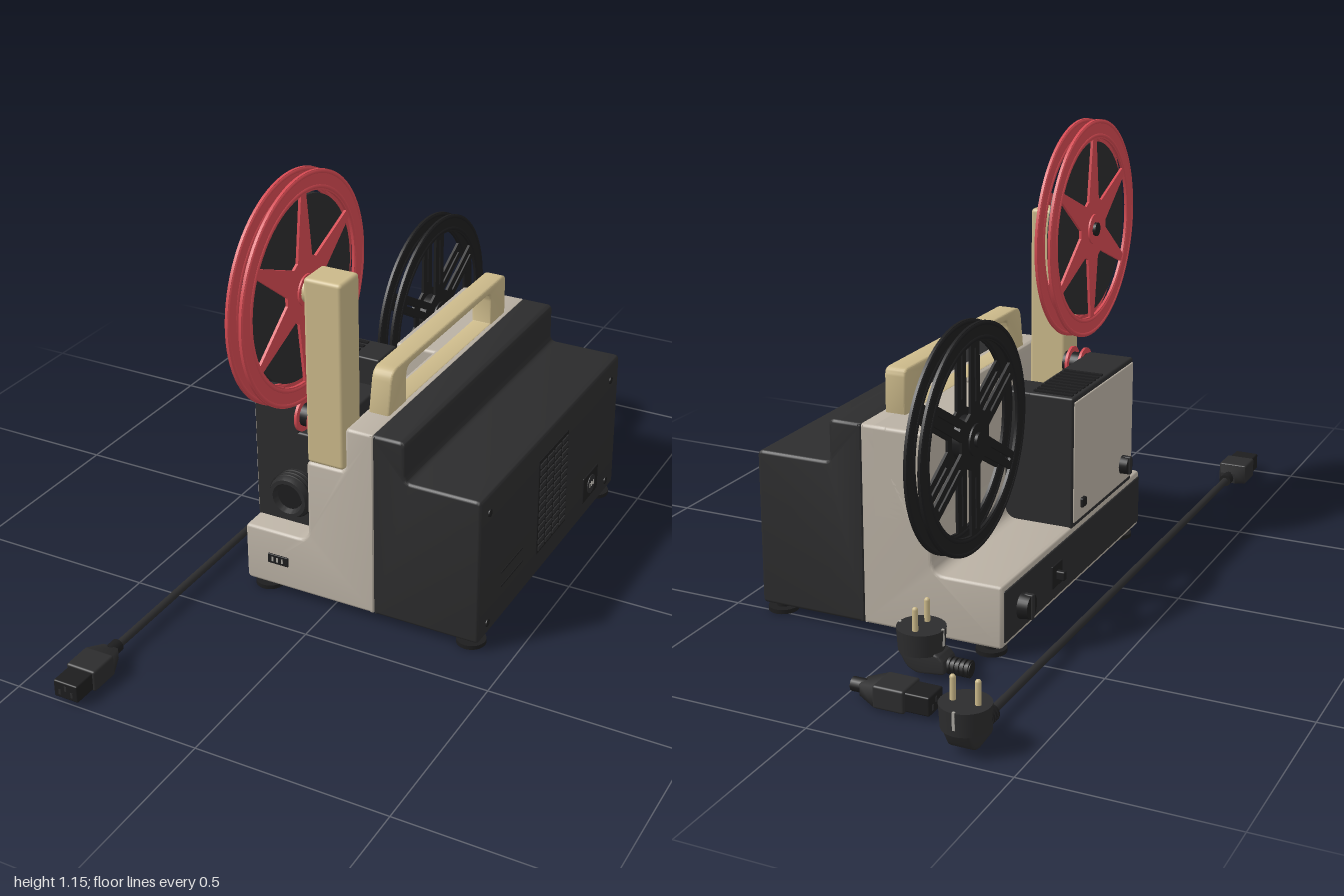
import * as THREE from 'three';
import { toCreasedNormals } from 'three/addons/utils/BufferGeometryUtils.js';
import { RoundedBoxGeometry } from 'three/addons/geometries/RoundedBoxGeometry.js';

const mat = (name, color) => Object.assign(new THREE.MeshStandardMaterial({ color }), { name });

export function createModel() {
  const dark = mat('charcoal', 0x2c2c2d), black = mat('black', 0x1d1d1e), grey = mat('warm grey', 0xbab1a4);
  const tan = mat('tan', 0xcbb98a), red = mat('red', 0xd64a52), steel = mat('steel', 0xa8a59e);
  const model = new THREE.Group();
  model.name = 'filmProjector';

  const group = (name, x = 0, y = 0, z = 0) => {
    const g = new THREE.Group();
    g.name = name;
    g.position.set(x, y, z);
    model.add(g);
    return g;
  };
  const add = (name, geo, m, x = 0, y = 0, z = 0, parent = model) => {
    const mesh = new THREE.Mesh(geo, m);
    mesh.name = name;
    mesh.position.set(x, y, z);
    parent.add(mesh);
    return mesh;
  };
  // Box given by its limits, optionally with rounded edges
  const box = (name, m, [x0, x1], [y0, y1], [z0, z1], r = 0, parent = model) => {
    const s = [x1 - x0, y1 - y0, z1 - z0];
    const geo = r ? new RoundedBoxGeometry(...s, 3, r) : new THREE.BoxGeometry(...s);
    return add(name, geo, m, (x0 + x1) / 2, (y0 + y1) / 2, (z0 + z1) / 2, parent);
  };
  // Cylinder along a chosen axis
  const cyl = (name, m, axis, r, len, x, y, z, parent = model, r2 = r, sides = 32) => {
    const geo = new THREE.CylinderGeometry(r, r2, len, sides);
    if (axis === 'x') geo.rotateZ(-Math.PI / 2);
    if (axis === 'z') geo.rotateX(Math.PI / 2);
    return add(name, geo, m, x, y, z, parent);
  };
  // Closed outline with rounded corners; each point is [x, y, radius]
  const outline = (pts, PathType = THREE.Shape) => {
    const path = new PathType(), n = pts.length;
    pts.forEach(([x, y, r = 0.012], i) => {
      const c = new THREE.Vector2(x, y);
      const toward = (q) => new THREE.Vector2(q[0], q[1]).sub(c).setLength(r).add(c);
      const a = toward(pts[(i + n - 1) % n]), b = toward(pts[(i + 1) % n]);
      if (i) path.lineTo(a.x, a.y); else path.moveTo(a.x, a.y);
      path.quadraticCurveTo(x, y, b.x, b.y);
    });
    path.closePath();
    return path;
  };
  // Extrusion centred on its depth, with bevelled ends
  const extrude = (shape, depth, b = 0, segs = 6) => {
    const geo = new THREE.ExtrudeGeometry(shape, {
      depth: depth - 2 * b, bevelEnabled: b > 0, bevelSize: b, bevelThickness: b,
      bevelOffset: -b, bevelSegments: 3, curveSegments: segs,
    });
    geo.translate(0, 0, b - depth / 2);
    return toCreasedNormals(geo, 0.6);
  };
  // Same, with the outline drawn in (z, y) and the depth along x
  const extrudeX = (...args) => extrude(...args).rotateY(-Math.PI / 2);

  // Main casing
  add('casing', extrude(outline([
    [-0.245, 0.025], [0.125, 0.025, 0.002], [0.125, 0.535, 0.002], [0.05, 0.535], [0.05, 0.415, 0.02],
    [-0.06, 0.415], [-0.06, 0.185, 0.035], [-0.245, 0.185],
  ]), 0.89, 0.008), grey, 0, 0, -0.07);
  box('casingRear', grey, [-0.06, 0.1], [0.3, 0.535], [-0.515, -0.1], 0.01);
  add('sideCover', extrude(outline([
    [0.125, 0.025, 0.002], [0.415, 0.025], [0.415, 0.427, 0.015], [0.212, 0.427, 0.018], [0.212, 0.535, 0.015], [0.125, 0.535, 0.002],
  ]), 0.89, 0.008), dark, 0, 0, -0.07);

  // Side cover vent, socket and screws
  box('ventPanel', black, [0.413, 0.417], [0.09, 0.365], [-0.16, 0.03]);
  for (let i = 0; i < 4; i++) for (let j = 0; j < 13; j++) {
    const z = 0.024 - i * 0.047, y = 0.099 + j * 0.0203;
    box('ventSlat', dark, [0.414, 0.42], [y, y + 0.012], [z - 0.037, z]);
  }
  box('powerSocket', black, [0.413, 0.419], [0.075, 0.15], [-0.385, -0.285], 0.002);
  cyl('socketRecess', dark, 'x', 0.027, 0.008, 0.417, 0.113, -0.335);
  for (const dz of [-0.012, 0, 0.012]) box('socketPin', steel, [0.418, 0.423], [0.107, 0.12], [-0.337 + dz, -0.333 + dz]);
  for (const z of [0.325, -0.455]) for (const y of [0.06, 0.375]) cyl('screw', black, 'x', 0.01, 0.006, 0.415, y, z);
  for (const y of [0.12, 0.16]) box('coverGroove', black, [0.413, 0.417], [y, y + 0.004], [0.12, 0.25]);

  // Lamp house with vented top, side plate and lens
  box('lampHouse', dark, [-0.245, -0.118], [0.18, 0.527], [-0.1, 0.31], 0.006);
  box('filmGate', dark, [-0.13, -0.055], [0.18, 0.45], [-0.1, 0.31], 0.006);
  box('filmGateRear', dark, [-0.13, -0.057], [0.4, 0.527], [-0.1, 0], 0.005);
  box('lampHousePlate', grey, [-0.249, -0.241], [0.195, 0.515], [-0.093, 0.303], 0.003);
  for (let i = 0; i < 9; i++) {
    const z = -0.085 + i * 0.024;
    box('topVent', black, [-0.236, -0.13], [0.525, 0.531], [z, z + 0.012]);
  }
  const lens = new THREE.LatheGeometry([
    [0, 0], [0.058, 0], [0.058, 0.045], [0.052, 0.06], [0.042, 0.06], [0.034, 0.04], [0, 0.045],
  ].map((p) => new THREE.Vector2(...p)), 40).rotateX(Math.PI / 2);
  add('lens', toCreasedNormals(lens, 0.5), dark, -0.125, 0.285, 0.305);
  for (let i = 0; i < 3; i++) {
    add('lensRing', new THREE.TorusGeometry(0.058, 0.003, 6, 40), black, -0.125, 0.285, 0.32 + i * 0.013);
  }
  cyl('lensGlass', black, 'z', 0.034, 0.006, -0.125, 0.285, 0.349);

  // Front socket
  box('frontSocket', black, [-0.18, -0.12], [0.09, 0.117], [0.372, 0.379], 0.002);
  for (let i = 0; i < 3; i++) box('frontSocketSlot', steel, [-0.168 + i * 0.014, -0.163 + i * 0.014], [0.097, 0.11], [0.376, 0.38]);

  // Left control strip and knobs
  box('controlStrip', dark, [-0.249, -0.243], [0.04, 0.17], [-0.505, 0.365], 0.002);
  const knob = (r, y, z, len) => {
    cyl('knob', black, 'x', r, len, -0.245 - len / 2, y, z, model, r * 0.88);
    box('knobGrip', dark, [-0.25 - len, -0.245], [y - r * 0.95, y + r * 0.95], [z - 0.007, z + 0.007], 0.003);
  };
  knob(0.034, 0.1, -0.41, 0.03);
  knob(0.026, 0.248, 0.235, 0.025);
  box('toggleBase', black, [-0.253, -0.245], [0.07, 0.13], [-0.235, -0.175], 0.002);
  box('toggle', black, [-0.275, -0.245], [0.088, 0.112], [-0.213, -0.197], 0.004);
  box('plateLatch', black, [-0.258, -0.245], [0.225, 0.25], [-0.055, -0.03], 0.004);

  // Feet
  for (const x of [-0.2, 0.378]) for (const z of [0.335, -0.478]) {
    cyl('foot', black, 'y', 0.038, 0.011, x, 0.0055, z);
    cyl('footStem', black, 'y', 0.017, 0.022, x, 0.019, z);
  }
  cyl('heightWheel', black, 'y', 0.035, 0.01, -0.095, 0.018, 0.3);

  // Carrying handle
  const handle = outline([[0.272, 0.53, 0.004], [0.25, 0.648, 0.03], [-0.41, 0.648, 0.02], [-0.41, 0.53, 0.004]]);
  handle.holes.push(outline([[0.175, 0.526, 0.002], [0.175, 0.618, 0.025], [-0.318, 0.618, 0.025], [-0.318, 0.526, 0.002]].map(
    ([z, y, r]) => [z, y + 0.01, r]), THREE.Path));
  add('handle', extrudeX(handle, 0.056, 0.005), tan, 0.087, 0, 0);

  // Reel arm
  box('reelArm', tan, [-0.058, 0.045], [0.415, 0.91], [0.283, 0.375], 0.01);

  // Reel flange with six spokes, tapered or parallel
  const flange = (R, ring, hub, wIn, wOut, slotted) => {
    const s = new THREE.Shape().absarc(0, 0, R, 0, Math.PI * 2);
    const polar = (r, a) => new THREE.Vector2(r * Math.cos(a), r * Math.sin(a));
    for (let k = 0; k < 6; k++) {
      const a = Math.PI / 6 + k * Math.PI / 3, b = a + Math.PI / 3;
      const pts = [polar(hub, a + wIn / hub), polar(hub, b - wIn / hub)];
      for (let i = 0; i <= 10; i++) pts.push(polar(ring, THREE.MathUtils.lerp(b - wOut / ring, a + wOut / ring, i / 10)));
      s.holes.push(new THREE.Path(pts));
      if (slotted) {
        const d = polar(0.004, a + Math.PI / 2);
        const p = polar(hub + 0.02, a), q = polar(ring - 0.012, a);
        s.holes.push(new THREE.Path([p.clone().add(d), p.clone().sub(d), q.clone().sub(d), q.clone().add(d)]));
      }
    }
    return extrudeX(s, 0.007, 0, 40);
  };
  const reel = (name, m, y, z, shape) => {
    const g = group(name, -0.095, y, z);
    for (const side of [-1, 1]) {
      add('flange', flange(...shape), m, side * 0.018, 0, 0, g);
      for (const r of [shape[0] - 0.006, shape[1] + 0.008]) {
        add('flangeRim', new THREE.TorusGeometry(r, 0.006, 8, 64).rotateY(Math.PI / 2), m, side * 0.018, 0, 0, g);
      }
      cyl('hubCap', m, 'x', 0.04, 0.006, side * 0.023, 0, 0, g);
    }
    cyl('hub', black, 'x', 0.055, 0.036, 0, 0, 0, g);
    cyl('spindle', black, 'x', 0.018, 0.075, 0.004, 0, 0, g);
    return g;
  };
  const feed = reel('feedReel', red, 0.86, 0.333, [0.29, 0.24, 0.085, 0.034, 0.012, false]);
  cyl('film', dark, 'x', 0.231, 0.026, 0, 0, 0, feed, 0.231, 64);
  reel('takeUpReel', black, 0.492, -0.388, [0.285, 0.238, 0.075, 0.025, 0.023, true]);
  cyl('takeUpShaft', black, 'x', 0.025, 0.04, -0.065, 0.492, -0.388);
  cyl('armShaft', tan, 'x', 0.03, 0.014, -0.063, 0.86, 0.333);

  // Film guide roller under the feed reel
  for (const x of [-0.113, -0.077]) cyl('rollerFlange', red, 'x', 0.045, 0.007, x, 0.496, 0.29);
  cyl('roller', black, 'x', 0.03, 0.06, -0.09, 0.496, 0.29);

  // Ribbed cable sleeve running along z
  const sleeve = (parent, y, z0, z1, r) => {
    cyl('sleeve', black, 'z', r * 0.75, z1 - z0, 0, y, (z0 + z1) / 2, parent, r * 0.75, 16);
    for (let i = 0; i < 5; i++) cyl('sleeveRib', black, 'z', r, 0.007, 0, y, z0 + (i + 0.5) * (z1 - z0) / 5, parent, r, 16);
  };
  // Mains plug with upright pins, its cable leaving towards local +z
  const plug = (x, z, turn) => {
    const g = group('mainsPlug', x, 0, z);
    g.rotation.y = turn;
    add('plugElbow', extrudeX(outline([[-0.052, 0.065], [0.055, 0.065], [0.075, 0.045], [0.075, 0.016], [0, 0.008], [-0.025, 0.02]]), 0.062, 0.006), dark, 0, 0, 0, g);
    cyl('plugHead', dark, 'y', 0.059, 0.056, 0, 0.087, 0, g, 0.055);
    for (const px of [-0.03, 0.03]) {
      cyl('plugPin', tan, 'y', 0.007, 0.055, px, 0.14, 0, g, 0.007, 12);
      add('pinTip', new THREE.SphereGeometry(0.007, 12, 8), tan, px, 0.167, 0, g);
    }
    for (const pz of [-0.056, 0.056]) box('earthClip', steel, [-0.003, 0.003], [0.075, 0.117], [pz - 0.003, pz + 0.003], 0, g);
    sleeve(g, 0.031, 0.07, 0.13, 0.021);
  };
  plug(-0.36, -0.942, 0);
  plug(-0.1, -0.645, -Math.PI / 2);

  // Appliance connector, its open end at local z = 0
  const connector = (x, z, turn) => {
    const g = group('applianceConnector', x, 0.033, z);
    g.rotation.y = turn;
    box('connectorNose', black, [-0.034, 0.034], [-0.023, 0.023], [-0.07, 0], 0.004, g);
    box('connectorBody', dark, [-0.041, 0.041], [-0.028, 0.028], [-0.14, -0.06], 0.006, g);
    add('connectorNeck', new THREE.CylinderGeometry(0.055, 0.03, 0.045, 4, 1).rotateY(Math.PI / 4)
      .rotateX(Math.PI / 2).scale(1, 0.66, 1).toNonIndexed(), dark, 0, 0, -0.16, g);
    for (const [px, py] of [[-0.017, -0.006], [0, 0.007], [0.017, -0.006]]) {
      box('contactSlot', dark, [px - 0.003, px + 0.003], [py - 0.007, py + 0.007], [-0.002, 0.001], 0, g);
    }
    sleeve(g, 0, -0.21, -0.175, 0.017);
  };
  connector(-0.36, 1, 0);
  connector(-0.23, -0.825, -Math.PI / 2);

  // Power cable
  cyl('powerCable', dark, 'z', 0.01, 1.62, -0.36, 0.032, -0.015, model, 0.01, 16);
  return model;
}
